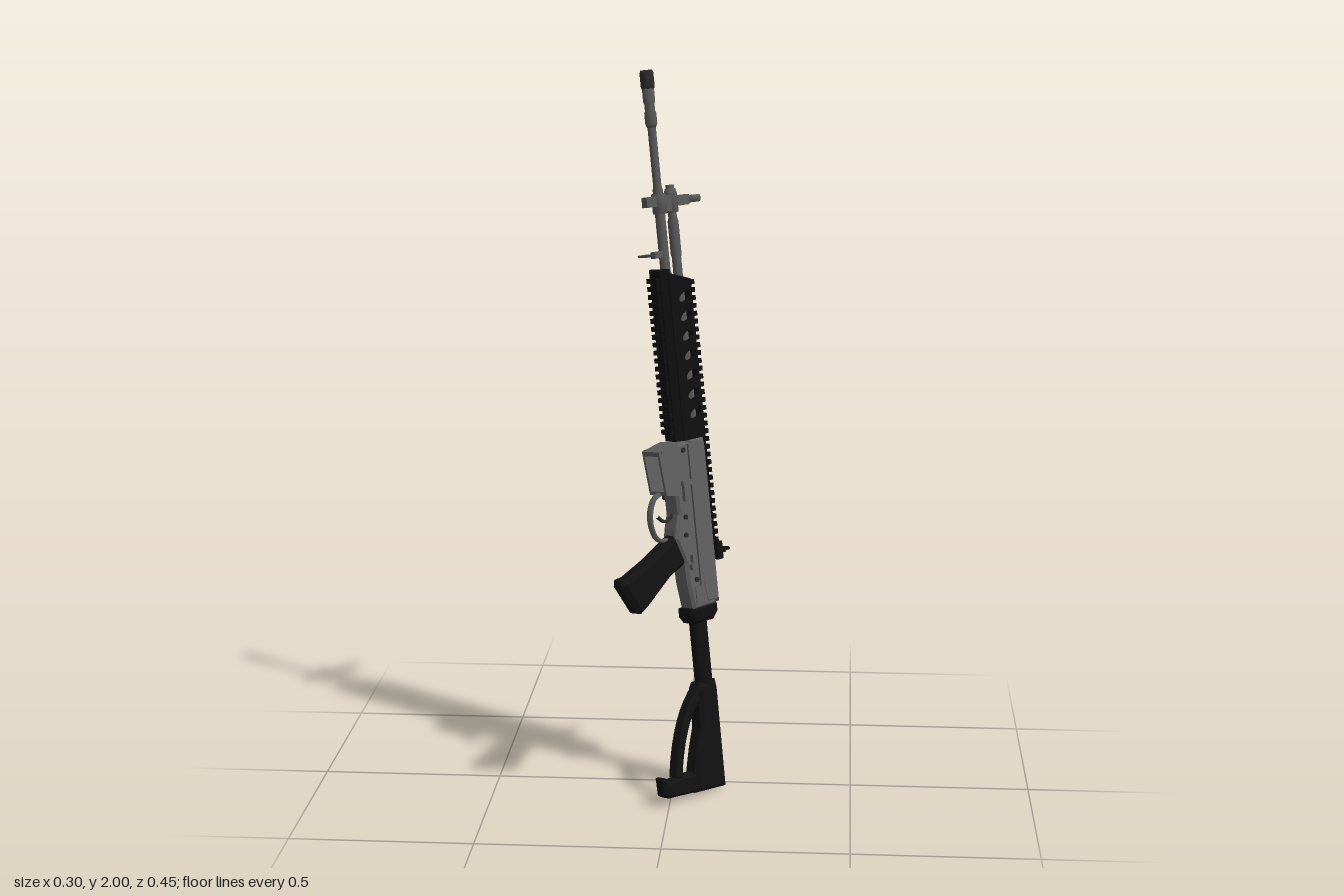
import * as THREE from 'three';

const mat = (name, color) => {
  const m = new THREE.MeshStandardMaterial({ color });
  m.name = name;
  return m;
};

export function createModel() {
  const grey = mat('receiver grey', 0x5e5e5e);
  const steel = mat('barrel grey', 0x575757);
  const dark = mat('dark steel', 0x2a2a2a);
  const black = mat('rail black', 0x0e0e0e);
  const polymer = mat('polymer black', 0x121212);

  // Local frame: x = sideways, y = along the bore, z = towards the grip
  const body = new THREE.Group();
  body.name = 'rifle';
  body.rotation.order = 'YXZ';
  body.rotation.set(0, -0.695, 0.133);
  body.position.set(0.12, 0, 0.045);

  const add = (name, geo, material, x = 0, y = 0, z = 0) => {
    const mesh = new THREE.Mesh(geo, material);
    mesh.name = name;
    mesh.position.set(x, y, z);
    body.add(mesh);
    return mesh;
  };
  const box = (name, m, w, h, d, x, y, z) => add(name, new THREE.BoxGeometry(w, h, d), m, x, y, z);
  const toShape = (pts) => new THREE.Shape(pts.map(([a, b]) => new THREE.Vector2(a, b)));

  // Side profile in (z, y), thickened sideways
  const slab = (name, m, profile, width, bevel = 0, x = 0, holes = []) => {
    const shape = Array.isArray(profile) ? toShape(profile) : profile;
    shape.holes.push(...holes);
    const geo = new THREE.ExtrudeGeometry(shape, {
      depth: width - 2 * bevel, bevelEnabled: bevel > 0, bevelThickness: bevel,
      bevelSize: bevel, bevelOffset: -bevel, bevelSegments: 1, curveSegments: 8,
    });
    geo.rotateY(-Math.PI / 2);
    geo.translate(width / 2 - bevel, 0, 0);
    return add(name, geo, m, x);
  };
  // Cross-section in (x, z), run along the bore from y0 to y1
  const prism = (name, m, pts, y0, y1) => {
    const geo = new THREE.ExtrudeGeometry(toShape(pts), { depth: y1 - y0, bevelEnabled: false });
    geo.rotateX(Math.PI / 2);
    return add(name, geo, m, 0, y1);
  };
  // Round part along the bore from [radius, y] steps
  const turned = (name, m, steps, z = 0, sides = 16) => {
    const pts = [[0, steps[0][1]], ...steps, [0, steps.at(-1)[1]]];
    return add(name, new THREE.LatheGeometry(pts.map(([r, y]) => new THREE.Vector2(r, y)), sides), m, 0, 0, z);
  };
  // Sideways pin or knob
  const pin = (name, m, r, len, x, y, z) => {
    const p = add(name, new THREE.CylinderGeometry(r, r, len, 12), m, x, y, z);
    p.rotation.z = Math.PI / 2;
    return p;
  };

  // Stock: body, curved strut and butt plate
  slab('stockBody', polymer, [[-0.025, 0.004], [0.1, 0.015], [0.09, 0.08], [0.075, 0.13], [0.052, 0.19],
    [0.05, 0.3], [0.04, 0.315], [-0.022, 0.315], [-0.027, 0.29]], 0.052, 0.01);
  const strut = new THREE.Shape();
  strut.moveTo(0.035, 0.312);
  strut.quadraticCurveTo(0.13, 0.25, 0.164, 0.075);
  strut.lineTo(0.14, 0.065);
  strut.quadraticCurveTo(0.11, 0.22, 0.035, 0.275);
  slab('stockStrut', polymer, strut, 0.036, 0.005);
  slab('buttPlate', polymer, [[-0.022, 0.004], [0.2, 0.026], [0.215, 0.035], [0.217, 0.085], [0.205, 0.085],
    [0.19, 0.07], [0.13, 0.075], [-0.02, 0.06]], 0.042, 0.008);
  turned('bufferTube', polymer, [[0.025, 0.25], [0.025, 0.5]], 0.006);
  slab('endCollar', black, [[-0.035, 0.485], [0.04, 0.485], [0.056, 0.505], [0.056, 0.53], [-0.054, 0.53], [-0.054, 0.505]], 0.06, 0.008);

  // Receiver
  slab('lowerReceiver', grey, [[-0.05, 0.525], [0.042, 0.525], [0.055, 0.6], [0.058, 0.66], [0.086, 0.735],
    [0.08, 0.76], [0.066, 0.8], [0.068, 0.86], [0.075, 0.99], [0, 1.0], [-0.05, 0.99]], 0.058, 0.008);
  slab('upperReceiver', grey, [[-0.066, 0.53], [0, 0.53], [0.012, 0.6], [0.014, 1.008], [-0.06, 1.008], [-0.066, 0.98]], 0.068, 0.014);
  box('rearBridge', grey, 0.064, 0.05, 0.085, 0, 0.565, -0.01);

  // Magazine well: an open rectangular frame
  for (const s of [-1, 1]) slab('magazineWellSide', grey, [[0.05, 0.85], [0.112, 0.862], [0.127, 0.985], [0.05, 1.0]], 0.007, 0, s * 0.029);
  slab('magazineWellRear', grey, [[0.05, 0.85], [0.112, 0.862], [0.112, 0.872], [0.05, 0.862]], 0.06);
  slab('magazineWellFront', grey, [[0.05, 0.985], [0.125, 0.972], [0.127, 0.985], [0.05, 1.0]], 0.06);
  for (const s of [-1, 1]) box('magazineWellRib', grey, 0.008, 0.012, 0.065, s * 0.031, 0.982, 0.085);

  // Receiver fittings
  for (const s of [-1, 1]) {
    for (const [y, z] of [[0.975, 0.03], [0.79, 0.045], [0.74, 0.05], [0.61, 0.025]])
      pin('receiverPin', dark, 0.007, 0.006, s * 0.031, y, z);
    box('selectorLever', grey, 0.01, 0.035, 0.01, s * 0.034, 0.665, 0.035);
    pin('selectorPivot', grey, 0.012, 0.012, s * 0.034, 0.65, 0.035);
    box('receiverRib', grey, 0.006, 0.4, 0.012, s * 0.034, 0.79, 0.008);
  }
  box('boltCatch', grey, 0.012, 0.05, 0.016, 0.034, 0.86, 0.04);
  box('boltCatchPaddle', grey, 0.014, 0.014, 0.035, 0.036, 0.885, 0.035);
  pin('magazineRelease', dark, 0.01, 0.012, -0.034, 0.845, 0.05);
  box('ejectionPort', dark, 0.006, 0.13, 0.032, -0.033, 0.87, -0.025);
  box('portDeflector', grey, 0.018, 0.03, 0.03, -0.038, 0.785, -0.025);
  pin('chargingStem', black, 0.008, 0.03, -0.045, 0.965, -0.03);
  pin('chargingKnob', black, 0.014, 0.018, -0.066, 0.965, -0.03);

  // Trigger and guard
  const curve = (pts) => new THREE.CatmullRomCurve3(pts.map(([z, y]) => new THREE.Vector3(0, y, z)));
  const guard = new THREE.TubeGeometry(curve([[0.095, 0.868], [0.13, 0.855], [0.15, 0.82], [0.15, 0.775], [0.13, 0.74], [0.08, 0.732]]), 20, 0.006, 6);
  guard.scale(2, 1, 1);
  add('triggerGuard', guard, grey);
  add('trigger', new THREE.TubeGeometry(curve([[0.06, 0.8], [0.09, 0.785], [0.108, 0.79], [0.125, 0.805]]), 10, 0.005, 6), dark);

  // Grip
  slab('grip', polymer, [[0.045, 0.66], [0.11, 0.635], [0.2, 0.575], [0.235, 0.556], [0.25, 0.56], [0.302, 0.645],
    [0.298, 0.662], [0.27, 0.665], [0.19, 0.695], [0.12, 0.728], [0.08, 0.745]], 0.052, 0.013);

  // Handguard: slotted sides between two tapered spines
  const slots = () => Array.from({ length: 7 }, (_, i) => {
    const hole = new THREE.Path();
    hole.absellipse(-0.03, 1.07 + i * 0.054, 0.024, 0.012, 0, Math.PI * 2, true, -0.35);
    return hole;
  });
  for (const s of [-1, 1])
    slab('handguardSide', black, [[-0.06, 1.0], [0.025, 1.0], [0.025, 1.465], [-0.06, 1.44]], 0.007, 0, s * 0.0315, slots());
  prism('handguardTop', black, [[-0.035, -0.056], [-0.02, -0.074], [0.02, -0.074], [0.035, -0.056]], 1.0, 1.437);
  prism('handguardBottom', black, [[-0.035, 0.02], [0.035, 0.02], [0.02, 0.044], [-0.02, 0.044]], 1.0, 1.475);

  // Toothed rails
  const rail = (name, y0, y1, z, out) => {
    box(name, black, 0.026, y1 - y0, 0.014, 0, (y0 + y1) / 2, z);
    for (let y = y0 + 0.008; y < y1; y += 0.022)
      box(name + 'Tooth', black, 0.038, 0.013, 0.011, 0, y, z + out * 0.009);
  };
  rail('topRail', 0.65, 1.435, -0.075, -1);
  rail('bottomRail', 1.02, 1.45, 0.044, 1);

  // Barrel, muzzle and gas tube
  turned('barrel', steel, [[0.018, 1.0], [0.018, 1.45], [0.014, 1.47], [0.014, 1.69], [0.0115, 1.7], [0.0115, 1.87]]);
  turned('muzzleBrake', steel, [[0.012, 1.86], [0.0165, 1.87], [0.0165, 1.9], [0.014, 1.905], [0.014, 1.925], [0.0165, 1.93], [0.0165, 1.97]]);
  turned('muzzleTip', dark, [[0.017, 1.965], [0.019, 1.972], [0.019, 2.008], [0.016, 2.016]], 0, 8);
  const bore = add('muzzleBore', new THREE.CircleGeometry(0.009, 12), black, 0, 2.0165, 0);
  bore.rotation.x = -Math.PI / 2;
  turned('gasTube', steel, [[0.013, 1.0], [0.013, 1.5], [0.015, 1.51], [0.015, 1.6], [0.012, 1.61], [0.012, 1.7]], -0.048);
  turned('gasPlug', steel, [[0.018, 1.625], [0.018, 1.675], [0.015, 1.69]], -0.048, 8);

  // Gas block and front sight
  turned('gasBlockBand', steel, [[0.02, 1.625], [0.02, 1.68]], 0, 12);
  box('gasBlock', steel, 0.026, 0.045, 0.05, 0, 1.652, -0.024);
  box('bayonetLug', steel, 0.02, 0.028, 0.04, 0, 1.66, 0.036);
  box('frontSightBase', steel, 0.024, 0.028, 0.05, 0, 1.655, -0.083);
  const hood = add('frontSightHood', new THREE.TorusGeometry(0.02, 0.0055, 6, 8), steel, 0, 1.655, -0.13);
  hood.rotation.x = Math.PI / 2;
  hood.scale.z = 2;
  box('frontSightPost', steel, 0.003, 0.004, 0.02, 0, 1.655, -0.12);
  box('frontSightTab', steel, 0.006, 0.012, 0.008, 0, 1.655, -0.155);

  // Sling loop
  for (const z of [0.043, 0.066]) box('slingLoopBar', steel, 0.066, 0.006, 0.005, 0, 1.515, z);
  for (const s of [-1, 1]) box('slingLoopEnd', steel, 0.005, 0.006, 0.026, s * 0.031, 1.515, 0.0545);
  box('slingMount', steel, 0.016, 0.018, 0.036, 0, 1.515, 0.026);

  // Rear sight
  box('rearSightBase', black, 0.046, 0.05, 0.02, 0, 0.67, -0.088);
  box('rearSightArm', black, 0.014, 0.016, 0.034, 0, 0.665, -0.11);
  const peep = add('rearSightRing', new THREE.TorusGeometry(0.009, 0.004, 6, 10), black, 0, 0.665, -0.134);
  peep.rotation.x = Math.PI / 2;
  pin('rearSightKnob', black, 0.01, 0.018, -0.03, 0.67, -0.09);

  const model = new THREE.Group();
  model.name = 'model';
  model.add(body);
  return model;
}
